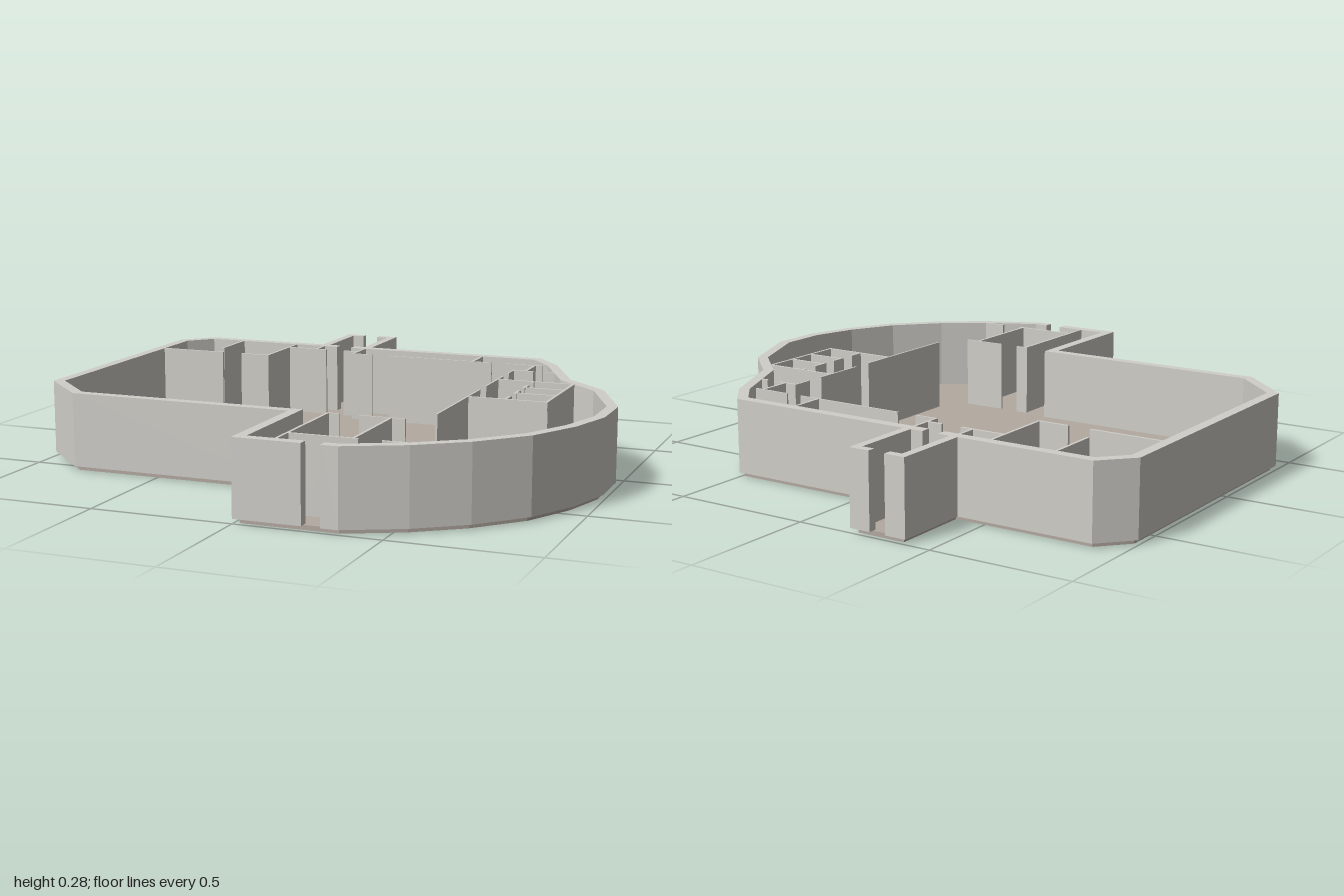
import * as THREE from 'three';

const FLOOR = 0.016, TOP = 0.276;

// Mitred parallel offset of an open [x, z] path, towards the inside of the plan
function offset(pts, d) {
  const normal = (a, b) => {
    const dx = b[0] - a[0], dz = b[1] - a[1], l = Math.hypot(dx, dz);
    return [dz / l, -dx / l];
  };
  return pts.map((p, i) => {
    const n1 = i > 0 ? normal(pts[i - 1], p) : normal(p, pts[1]);
    const n2 = i < pts.length - 1 ? normal(p, pts[i + 1]) : n1;
    const k = d / (1 + n1[0] * n2[0] + n1[1] * n2[1]);
    return [p[0] + (n1[0] + n2[0]) * k, p[1] + (n1[1] + n2[1]) * k];
  });
}

// Upright prism over an [x, z] outline
function prism(name, outline, y0, y1, material) {
  const shape = new THREE.Shape(outline.map(([x, z]) => new THREE.Vector2(x, -z)));
  const geo = new THREE.ExtrudeGeometry(shape, { depth: y1 - y0, bevelEnabled: false });
  geo.rotateX(-Math.PI / 2).translate(0, y0, 0);
  const mesh = new THREE.Mesh(geo, material);
  mesh.name = name;
  return mesh;
}

export function createModel() {
  const wallMat = new THREE.MeshStandardMaterial({ color: 0xd0cec8 });
  wallMat.name = 'pale grey wall';
  const floorMat = new THREE.MeshStandardMaterial({ color: 0xb3a9a0 });
  floorMat.name = 'warm grey floor';

  const model = new THREE.Group();
  model.name = 'floorPlan';

  // Outer faces of the perimeter, running from doorway to doorway
  const curvedRun = [
    [0.297, 1], [0.355, 1], [0.55, 0.905], [0.71, 0.79], [0.855, 0.635], [0.945, 0.46],
    [0.995, 0.285], [0.995, 0.1], [0.88, -0.17], [0.72, -0.325], [0.595, -0.6],
    [0.5, -0.718], [-0.275, -0.718],
  ];
  const straightRun = [
    [-0.335, -0.718], [-0.9, -0.718], [-1, -0.61], [-1, 0.385], [-0.815, 0.565],
    [0, 0.565], [0, 1], [0.233, 1],
  ];
  const porchRight = [[-0.2, -0.718], [-0.2, -1], [-0.275, -1]];
  const porchLeft = [[-0.335, -1], [-0.41, -1], [-0.41, -0.718]];

  // Floor slab, reaching the middle of the walls
  const edge = [...curvedRun.slice(0, -1), ...porchRight, ...porchLeft, ...straightRun.slice(1)];
  model.add(prism('floor', offset(edge, 0.018), 0, FLOOR, floorMat));

  // Perimeter walls
  const addWall = (name, run, t) =>
    model.add(prism(name, [...run, ...offset(run, t).reverse()], FLOOR, TOP, wallMat));
  addWall('curvedOuterWall', curvedRun, 0.037);
  addWall('straightOuterWall', straightRun, 0.037);
  addWall('porchWallRight', porchRight, 0.03);
  addWall('porchWallLeft', porchLeft, 0.03);

  // Thin partitions: alongX = [z, x0, x1], alongZ = [x, z0, z1], optional thickness
  const alongX = [
    [-0.4, -0.97, -0.705], [-0.4, -0.625, -0.508], [-0.607, -0.513, -0.35],
    [-0.607, -0.275, -0.213], [-0.56, -0.222, -0.137, 0.007], [-0.56, -0.065, 0.35, 0.007],
    [-0.56, 0.41, 0.55, 0.007], [-0.437, 0.47, 0.55], [-0.437, 0.6, 0.65],
    [-0.24, 0.473, 0.756], [-0.12, 0.607, 0.752], [-0.012, 0.607, 0.752], [0.11, 0.473, 0.756],
    [0.547, 0.127, 0.175, 0.007], [0.547, 0.245, 0.405, 0.007],
    [0.875, 0.135, 0.372], [0.875, 0.45, 0.58],
  ];
  const alongZ = [
    [-0.75, -0.69, -0.49], [-0.513, -0.69, -0.395], [-0.393, -0.69, -0.607],
    [-0.217, -0.69, -0.556], [0.273, -0.69, -0.56], [0.52, -0.56, -0.437],
    [0.473, -0.445, -0.365, 0.007], [0.473, -0.3, -0.09, 0.007], [0.473, -0.02, 0.44, 0.007],
    [0.752, -0.24, 0.114], [0.607, -0.24, -0.22], [0.607, -0.17, -0.105],
    [0.607, -0.06, 0], [0.607, 0.05, 0.11],
    [0.135, 0.547, 0.97], [0.355, 0.547, 0.875],
  ];
  const partitions = new THREE.Group();
  partitions.name = 'partitions';
  const h = TOP - FLOOR;
  const addPartition = (w, d, x, z) => {
    const mesh = new THREE.Mesh(new THREE.BoxGeometry(w, h, d), wallMat);
    mesh.position.set(x, FLOOR + h / 2, z);
    mesh.name = 'partition';
    partitions.add(mesh);
  };
  for (const [z, a, b, t = 0.01] of alongX) addPartition(b - a, t, (a + b) / 2, z);
  for (const [x, a, b, t = 0.01] of alongZ) addPartition(t, b - a, x, (a + b) / 2);
  model.add(partitions);

  return model;
}
